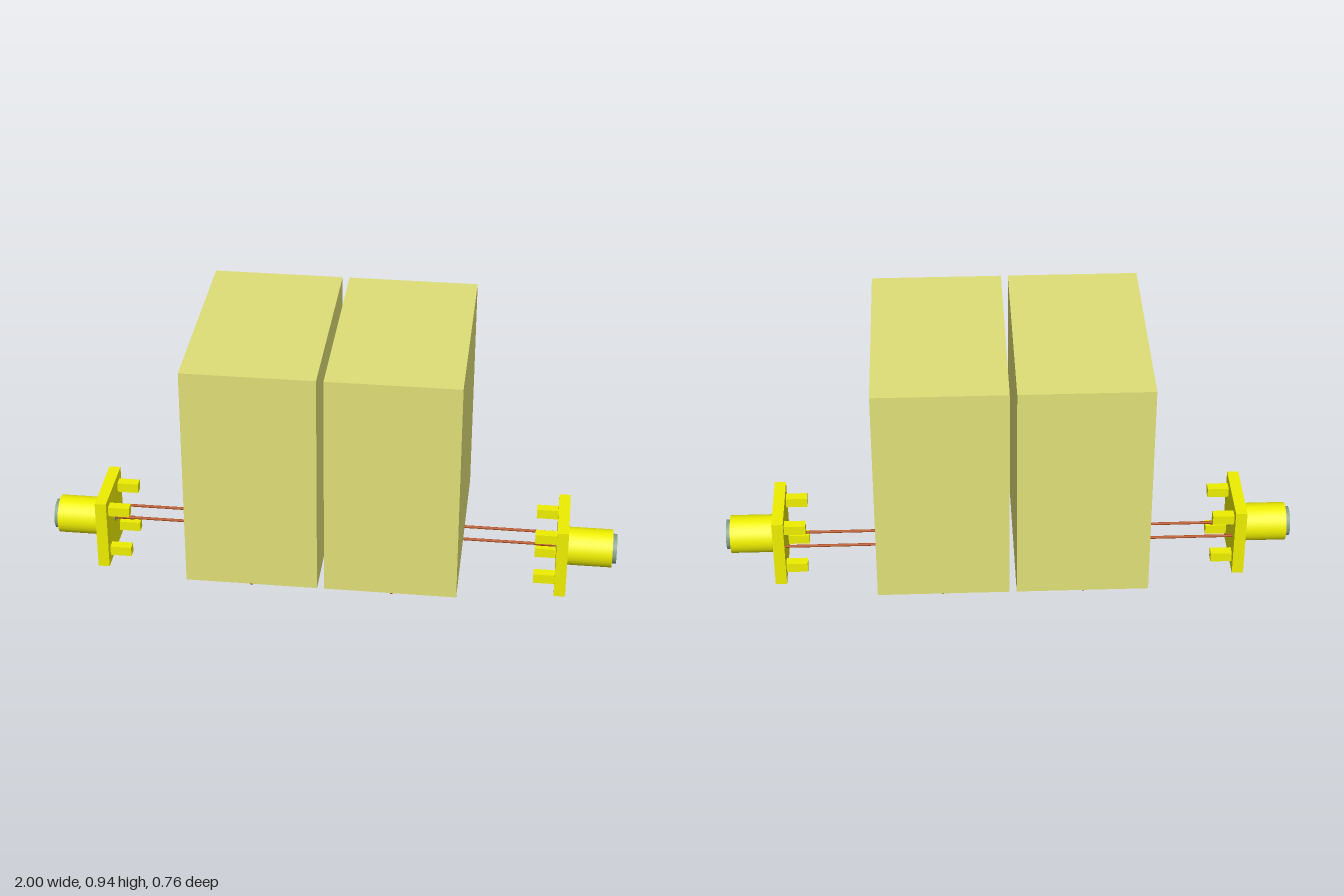
import * as THREE from 'three';

const paint = (color) => new THREE.MeshStandardMaterial({ color });
const blockMat = paint(0xe0df78);
const metalMat = paint(0xeeee00);
const copperMat = paint(0xb4521e);
const coreMat = paint(0x86a088);

const AXIS_Y = 0.13; // height of the connector axis and the wires
const WIRE = 0.005; // wire radius

function add(parent, name, geometry, material, x, y, z) {
  const mesh = new THREE.Mesh(geometry, material);
  mesh.name = name;
  mesh.position.set(x, y, z);
  parent.add(mesh);
  return mesh;
}

const box = (parent, name, material, size, pos) =>
  add(parent, name, new THREE.BoxGeometry(...size), material, ...pos);

// Cylinder lying along x between x0 and x1
function rodX(parent, name, material, radius, x0, x1, z = 0, sides = 40) {
  const g = new THREE.CylinderGeometry(radius, radius, Math.abs(x1 - x0), sides).rotateZ(Math.PI / 2);
  return add(parent, name, g, material, (x0 + x1) / 2, AXIS_Y, z);
}

function makeConnector(s) {
  const g = new THREE.Group();
  g.name = 'coaxialConnector';
  box(g, 'flange', metalMat, [0.04, 0.26, 0.256], [s * 0.81, AXIS_Y, 0]);
  for (const dy of [-1, 1])
    for (const dz of [-1, 1])
      box(g, 'mountingLeg', metalMat, [0.08, 0.035, 0.035], [s * 0.755, AXIS_Y + dy * 0.082, dz * 0.082]);
  rodX(g, 'barrel', metalMat, 0.067, s * 0.83, s * 0.985);
  rodX(g, 'insulatorTip', coreMat, 0.052, s * 0.98, s * 1.0);
  rodX(g, 'insulatorBack', coreMat, 0.014, s * 0.787, s * 0.8, 0, 24);
  rodX(g, 'centrePin', copperMat, 0.007, s * 0.72, s * 0.8, 0, 16);
  return g;
}

// Feed wire: in from the connector, a square turn along z, then up into the block
function makeFeedWire(s, zStart, zEnd) {
  const g = new THREE.Group();
  g.name = 'feedWire';
  const turnX = s * 0.24;
  rodX(g, 'lead', copperMat, WIRE, s * 0.79, turnX, zStart, 12);
  const run = new THREE.CylinderGeometry(WIRE, WIRE, Math.abs(zEnd - zStart), 12).rotateX(Math.PI / 2);
  add(g, 'crossRun', run, copperMat, turnX, AXIS_Y, (zStart + zEnd) / 2);
  const riser = new THREE.CylinderGeometry(WIRE, WIRE, 0.025, 12);
  add(g, 'riser', riser, copperMat, turnX, AXIS_Y + 0.0075, zEnd);
  for (const z of [zStart, zEnd])
    add(g, 'elbow', new THREE.SphereGeometry(WIRE, 12, 8), copperMat, turnX, AXIS_Y, z);
  return g;
}

export function createModel() {
  const model = new THREE.Group();
  model.name = 'twinBlockWithConnectors';
  for (const s of [-1, 1]) {
    const side = new THREE.Group();
    side.name = s > 0 ? 'leftHalf' : 'rightHalf';
    box(side, 'block', blockMat, [0.45, 0.805, 0.756], [s * 0.237, 0.5425, 0]);
    side.add(makeConnector(s));
    side.add(makeFeedWire(s, 0, 0.358));
    side.add(makeFeedWire(s, -0.08, -0.358));
    model.add(side);
  }
  return model;
}
